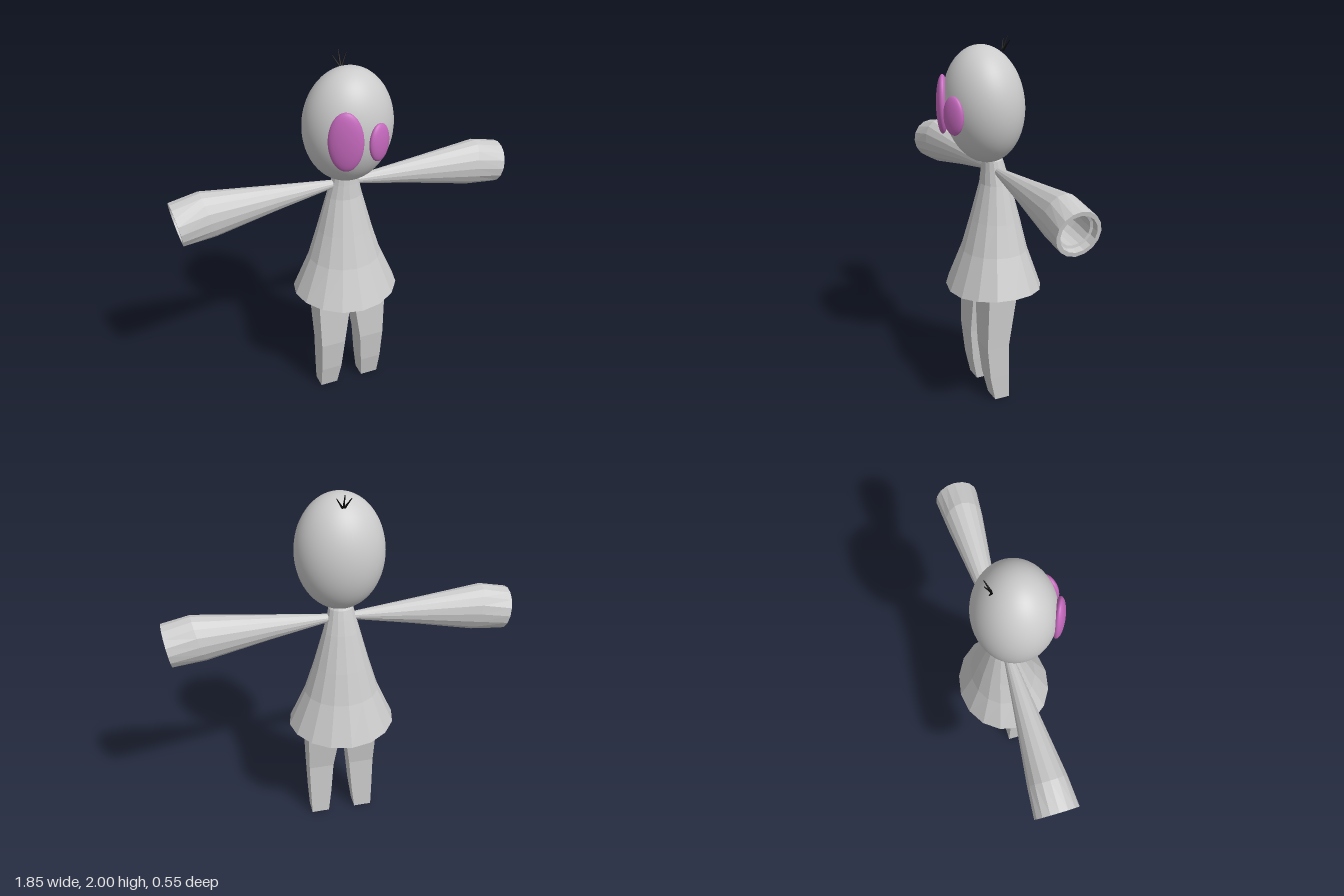
import * as THREE from 'three';

const grey = new THREE.MeshStandardMaterial({ color: 0xcccccc });
const greyFlat = new THREE.MeshStandardMaterial({ color: 0xcccccc, flatShading: true });
const purple = new THREE.MeshStandardMaterial({ color: 0xc468bc });
const black = new THREE.MeshStandardMaterial({ color: 0x0a0a0a });

// Skin a list of equally sized rings, closing the two ends with fans.
function loft(rings) {
  const n = rings[0].length, pos = rings.flat(2), idx = [];
  for (let i = 0; i < rings.length - 1; i++) {
    for (let j = 0; j < n; j++) {
      const k = (j + 1) % n, a = i * n, b = a + n;
      idx.push(a + j, a + k, b + k, a + j, b + k, b + j);
    }
  }
  const last = (rings.length - 1) * n;
  for (let j = 1; j < n - 1; j++) {
    idx.push(0, j + 1, j);
    idx.push(last, last + j, last + j + 1);
  }
  const g = new THREE.BufferGeometry();
  g.setAttribute('position', new THREE.Float32BufferAttribute(pos, 3));
  g.setIndex(idx);
  g.computeVertexNormals();
  return g;
}

const ring = (n, f) => Array.from({ length: n }, (_, j) => f((j / n) * Math.PI * 2));

export function createModel() {
  const model = new THREE.Group();
  const add = (name, geo, mat, parent = model) => {
    const m = new THREE.Mesh(geo, mat);
    m.name = name;
    parent.add(m);
    return m;
  };

  // Egg-shaped head, leaning slightly forward
  const ball = new THREE.SphereGeometry(1, 48, 32);
  const head = add('head', ball, grey);
  head.scale.set(0.235, 0.307, 0.208);
  head.position.set(-0.005, 1.655, 0.036);
  head.rotation.x = 0.09;

  // Mismatched flat oval eyes
  const eye = (name, p, s, turn) => {
    const e = add(name, ball, purple);
    e.position.set(...p);
    e.scale.set(...s);
    e.rotation.set(0, turn, 0);
  };
  eye('rightEye', [-0.095, 1.655, 0.228], [0.088, 0.155, 0.034], -0.42);
  eye('leftEye', [0.077, 1.63, 0.238], [0.066, 0.1, 0.028], 0.42);

  // Tuft of three hairs
  const hair = new THREE.Group();
  hair.name = 'hair';
  model.add(hair);
  for (const [x, top, z] of [[-0.036, 1.978, -0.088], [0, 2, -0.097], [0.04, 1.982, -0.09]]) {
    const dir = new THREE.Vector3(x * 0.85, top - 1.925, z + 0.068);
    const strand = add('hairStrand', new THREE.CylinderGeometry(0.002, 0.006, dir.length(), 6), black, hair);
    strand.position.set(x * 0.15, 1.925, -0.068).addScaledVector(dir, 0.5);
    strand.quaternion.setFromUnitVectors(new THREE.Vector3(0, 1, 0), dir.clone().normalize());
  }

  // Hollow dress with a wavy hem: [y, x radius, z radius, z centre, hem wave]
  const dress = [
    [1.2, 0.085, 0.07, -0.025, 0], [0.86, 0.185, 0.16, -0.02, 0], [0.67, 0.265, 0.232, -0.018, 0.013],
    [0.645, 0.275, 0.24, -0.016, 0.013], [0.645, 0.293, 0.258, -0.016, 0.013],
    [0.86, 0.203, 0.178, -0.02, 0.004], [1.03, 0.152, 0.133, -0.024, 0], [1.23, 0.098, 0.08, -0.024, 0],
    [1.31, 0.077, 0.064, -0.016, 0], [1.36, 0.066, 0.054, -0.01, 0], [1.395, 0.04, 0.035, -0.008, 0],
  ];
  add('dress', loft(dress.map(([y, rx, rz, cz, w]) =>
    ring(16, (t) => [rx * Math.sin(t), y - w * Math.cos(2 * t), cz + rz * Math.cos(t)]))), greyFlat);

  // Hollow flared sleeve: [x, y, y radius, z radius, x tilt at the top edge]
  const sleeve = [
    [0.07, 1.304, 0.022, 0.022, 0], [0.4, 1.291, 0.07, 0.06, 0.014],
    [0.745, 1.275, 0.125, 0.102, 0.03], [0.907, 1.25, 0.114, 0.115, 0.02],
    [0.907, 1.25, 0.093, 0.095, 0.016], [0.872, 1.256, 0.091, 0.093, 0.016],
    [0.868, 1.257, 0.078, 0.08, 0.014], [0.745, 1.275, 0.085, 0.085, 0.014], [0.12, 1.302, 0.018, 0.018, 0],
  ];
  const armGeo = loft(sleeve.map(([x, y, ry, rz, tilt]) =>
    ring(16, (t) => [x + tilt * Math.cos(t), y + ry * Math.cos(t), -0.015 + rz * Math.sin(t)])));

  // Four-sided tapering leg: [y, inner x, outer x, back z, front z]
  const leg = [
    [0, 0.078, 0.178, -0.033, 0.052], [0.14, 0.062, 0.183, -0.03, 0.082],
    [0.33, 0.047, 0.188, -0.026, 0.102], [0.64, 0.004, 0.198, -0.068, 0.096], [0.75, 0.004, 0.185, -0.08, 0.09],
  ];
  const legGeo = loft(leg.map(([y, x0, x1, z0, z1]) =>
    [[x0, y, z1], [x1, y, z1], [x1, y, z0], [x0, y, z0]]));

  for (const [side, s] of [['left', 1], ['right', -1]]) {
    add(side + 'Arm', armGeo, greyFlat).scale.x = s;
    add(side + 'Leg', legGeo, greyFlat).scale.x = s;
  }
  return model;
}
